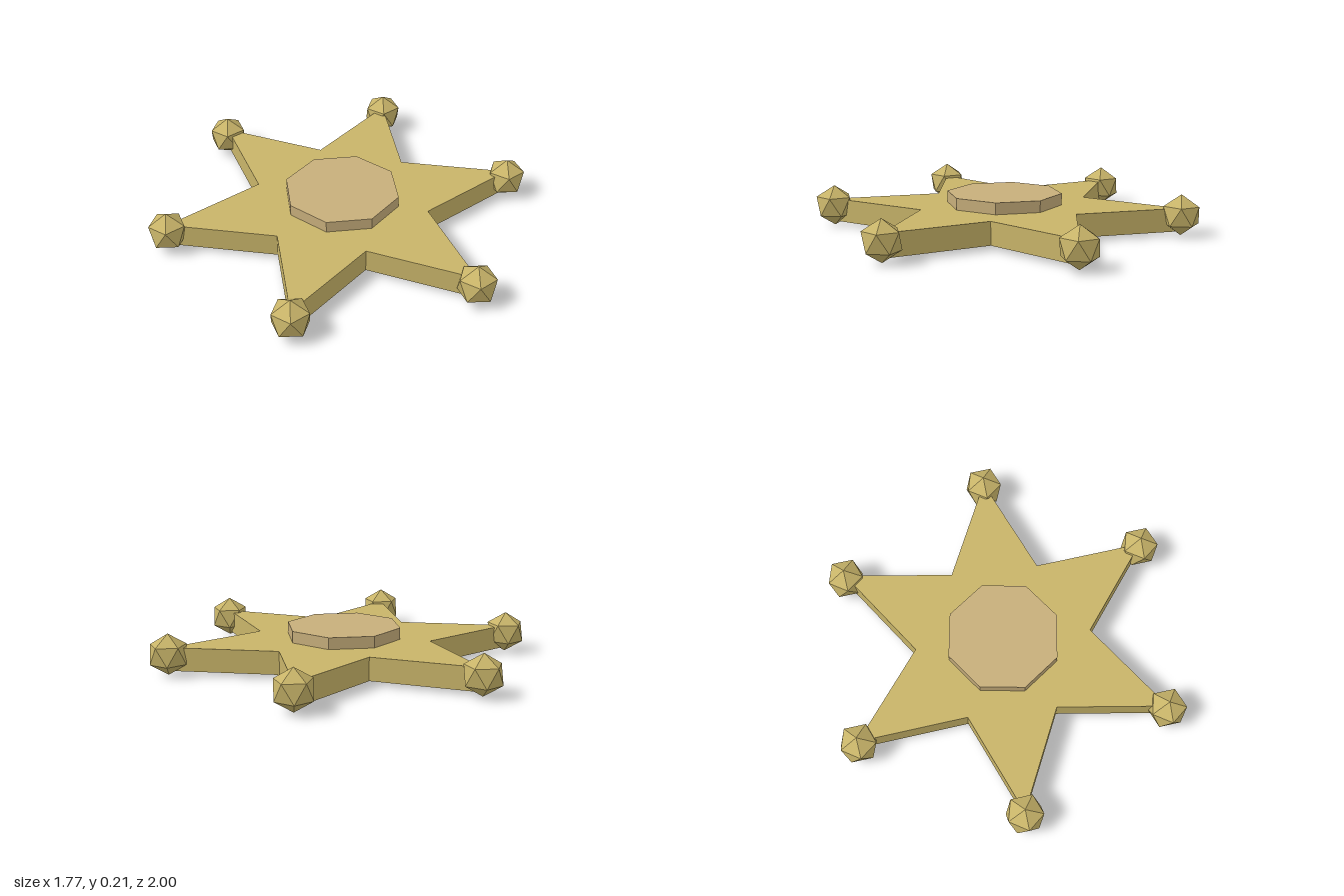
import * as THREE from 'three';

const POINTS = 6;
const TIP_RADIUS = 0.91;
const INNER_RADIUS = 0.455;
const BALL_RADIUS = 0.106;

export function createModel() {
  const model = new THREE.Group();
  model.name = 'starBadge';

  const gold = new THREE.MeshStandardMaterial({ color: 0xc8b469, flatShading: true });
  gold.name = 'gold';
  const tan = new THREE.MeshStandardMaterial({ color: 0xc7ae7b, flatShading: true });
  tan.name = 'tan';

  const add = (name, geometry, material, x, y, z) => {
    const mesh = new THREE.Mesh(geometry, material);
    mesh.name = name;
    mesh.position.set(x, y, z);
    model.add(mesh);
  };

  // Six-pointed star plate, with points towards the front and back
  const outline = [];
  for (let i = 0; i < POINTS * 2; i++) {
    const angle = Math.PI / 2 + (i * Math.PI) / POINTS;
    const radius = i % 2 ? INNER_RADIUS : TIP_RADIUS;
    outline.push(new THREE.Vector2(Math.cos(angle) * radius, Math.sin(angle) * radius));
  }
  const star = new THREE.ExtrudeGeometry(new THREE.Shape(outline), { depth: 0.12, bevelEnabled: false });
  star.rotateX(-Math.PI / 2);
  add('starPlate', star, gold, 0, 0.02, 0);

  // Octagonal disc raised in the middle
  add('centreDisc', new THREE.CylinderGeometry(0.3, 0.3, 0.06, 8), tan, 0, 0.17, 0);

  // Faceted ball on every tip, turned so a corner points straight up
  const ball = new THREE.IcosahedronGeometry(BALL_RADIUS, 0);
  ball.rotateZ(-Math.atan(2 / (1 + Math.sqrt(5))));
  for (let i = 0; i < POINTS; i++) {
    const angle = Math.PI / 2 + (i * Math.PI * 2) / POINTS;
    add(`tipBall${i + 1}`, ball, gold, Math.cos(angle) * TIP_RADIUS, BALL_RADIUS, Math.sin(angle) * TIP_RADIUS);
  }

  return model;
}
